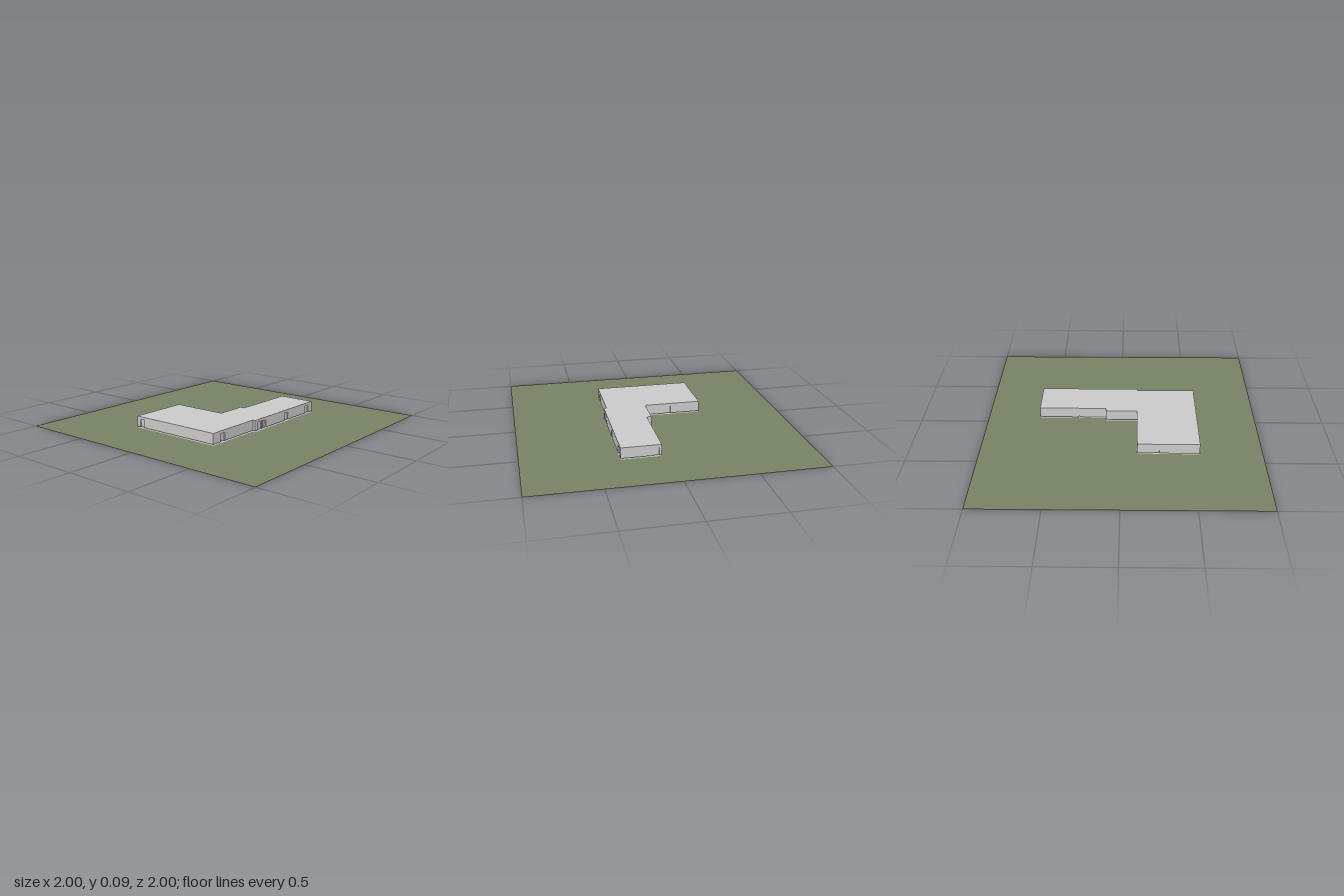
import * as THREE from 'three';

const grey = new THREE.MeshStandardMaterial({ color: 0xcccccc, side: THREE.DoubleSide });
const grass = new THREE.MeshStandardMaterial({ color: 0x778265, side: THREE.DoubleSide });

const BASE = 0.008, ROOF = 0.08, TOP = 0.085, DOOR = 0.065, THICK = 0.012;

// Footprint corners (x, z), each wall running to the next corner.
// Doors are [centre along the wall's axis, width].
const walls = [
  { at: [-0.555, -0.4], doors: [[-0.35, 0.04]] },
  { at: [-0.555, 0.315], doors: [[-0.455, 0.045]] },
  { at: [-0.12, 0.315], doors: [] },
  { at: [-0.12, 0.335], doors: [[-0.065, 0.04], [-0.012, 0.054], [0.265, 0.04], [0.54, 0.045]] },
  { at: [0.61, 0.335], doors: [[0.09, 0.036]] },
  { at: [0.61, 0.055], doors: [[0.3, 0.04]] },
  { at: [0.115, 0.055], doors: [] },
  { at: [0.115, 0.02], doors: [] },
  { at: [-0.115, 0.02], doors: [[-0.16, 0.036]] },
  { at: [-0.115, -0.4], doors: [[-0.25, 0.04]] },
];

function mesh(name, geometry, material = grey) {
  const m = new THREE.Mesh(geometry, material);
  m.name = name;
  return m;
}

const outline = () => walls.map(({ at: [x, z] }) => new THREE.Vector2(x, -z));

// One straight wall with notched doorways and recessed door leaves
function buildWall({ at, doors }, end) {
  const group = new THREE.Group();
  group.name = 'wall';
  const dx = end[0] - at[0], dz = end[1] - at[1];
  const length = Math.hypot(dx, dz);
  const axis = Math.abs(dx) > Math.abs(dz) ? 0 : 1;
  const openings = doors
    .map(([c, w]) => [Math.abs(c - at[axis]), w])
    .sort((a, b) => a[0] - b[0]);

  const shape = new THREE.Shape();
  shape.moveTo(0, BASE);
  for (const [c, w] of openings) {
    shape.lineTo(c - w / 2, BASE);
    shape.lineTo(c - w / 2, DOOR);
    shape.lineTo(c + w / 2, DOOR);
    shape.lineTo(c + w / 2, BASE);
  }
  shape.lineTo(length, BASE);
  shape.lineTo(length, ROOF);
  shape.lineTo(0, ROOF);
  const geometry = new THREE.ExtrudeGeometry(shape, { depth: THICK, bevelEnabled: false });
  group.add(mesh('wallPanel', geometry.translate(0, 0, -THICK)));

  for (const [c, w] of openings) {
    const leaf = mesh('doorLeaf', new THREE.BoxGeometry(w, DOOR - BASE, 0.003));
    leaf.position.set(c, (DOOR + BASE) / 2, -THICK + 0.003);
    group.add(leaf);
    // The wide entrance is divided by mullions
    if (w > 0.05) {
      for (let i = 0; i < 5; i++) {
        const bar = mesh('entranceMullion', new THREE.BoxGeometry(0.004, DOOR - BASE, 0.007));
        bar.position.set(c + (i / 4 - 0.5) * (w - 0.004), (DOOR + BASE) / 2, -0.0045);
        group.add(bar);
      }
    }
  }
  group.position.set(at[0], 0, at[1]);
  group.rotation.y = Math.atan2(-dz, dx);
  return group;
}

export function createModel() {
  const model = new THREE.Group();
  model.name = 'buildingOnLawn';

  // Lawn, cut out around the building
  const lawn = new THREE.Shape([[-1, -1], [1, -1], [1, 1], [-1, 1]].map(p => new THREE.Vector2(...p)));
  lawn.holes.push(new THREE.Path(outline()));
  model.add(mesh('lawn', new THREE.ShapeGeometry(lawn).rotateX(-Math.PI / 2), grass));

  // Floor and roof follow the footprint
  const footprint = new THREE.Shape(outline());
  model.add(mesh('floor', new THREE.ShapeGeometry(footprint).rotateX(-Math.PI / 2)));
  const roof = new THREE.ExtrudeGeometry(footprint, { depth: TOP - ROOF, bevelEnabled: false });
  model.add(mesh('roof', roof.rotateX(-Math.PI / 2).translate(0, ROOF, 0)));

  walls.forEach((wall, i) => model.add(buildWall(wall, walls[(i + 1) % walls.length].at)));
  return model;
}
